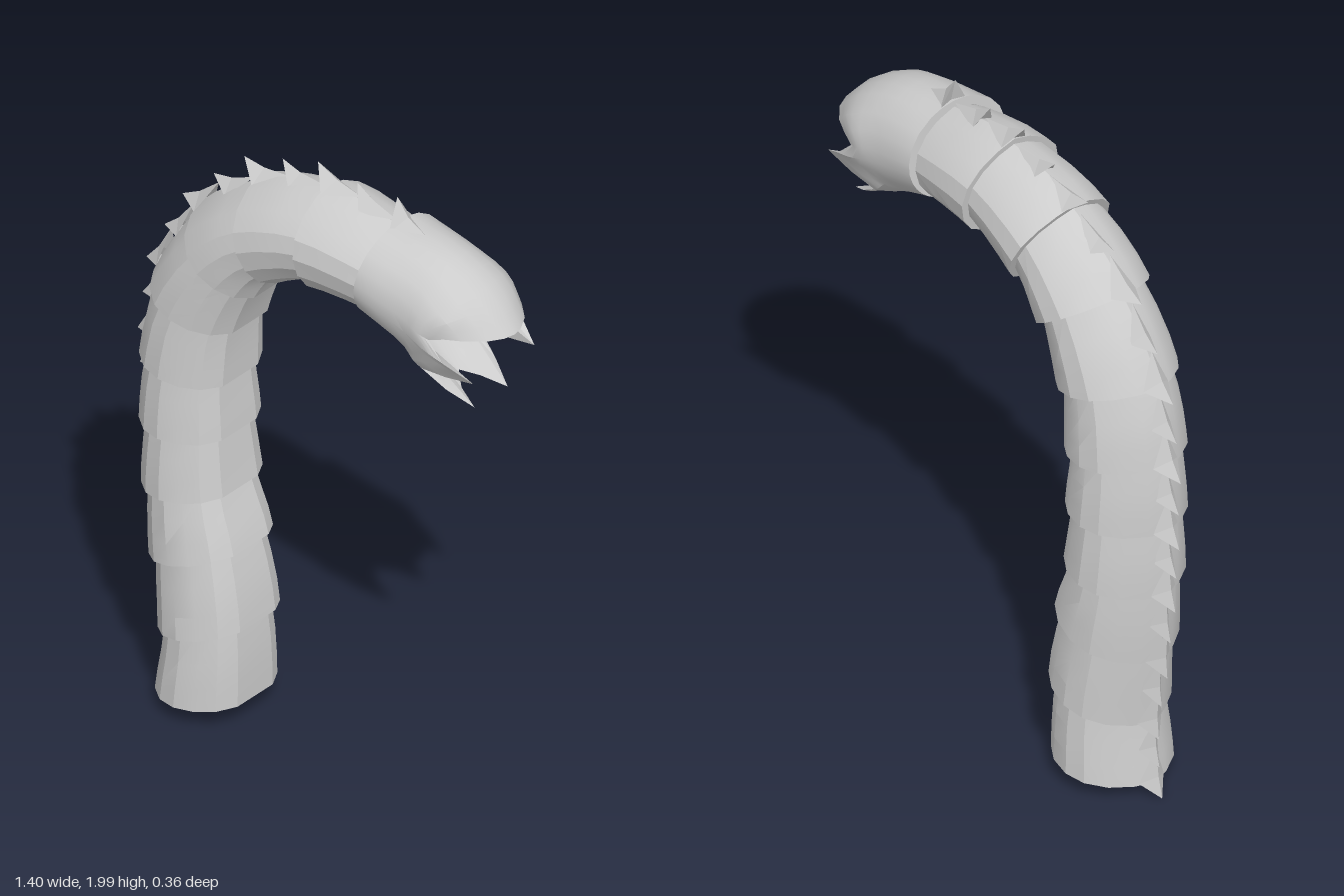
import * as THREE from 'three';
import { toCreasedNormals } from 'three/addons/utils/BufferGeometryUtils.js';

const V = (x, y, z = 0) => new THREE.Vector3(x, y, z);
const material = new THREE.MeshStandardMaterial({ color: 0xcccccc, side: THREE.DoubleSide });
const WIDTH = 0.178;

// Back and belly lines; each whole number along them is a plate rim, 10 is the head collar
const curve = (pts) => new THREE.CatmullRomCurve3(pts.map(([x, y]) => V(x, y)), false, 'catmullrom');
const back = curve([[-0.595, 0.05], [-0.585, 0.25], [-0.62, 0.48], [-0.645, 0.72], [-0.655, 0.94], [-0.655, 1.165],
  [-0.615, 1.41], [-0.475, 1.66], [-0.255, 1.85], [0.005, 1.935], [0.265, 1.925], [0.46, 1.9]]);
const belly = curve([[-0.27, 0.085], [-0.26, 0.34], [-0.285, 0.585], [-0.325, 0.765], [-0.33, 0.955], [-0.325, 1.14],
  [-0.29, 1.335], [-0.21, 1.49], [-0.13, 1.575], [0.04, 1.64], [0.235, 1.63], [0.38, 1.57]]);
const LAST = 11;

// Centre and half-thickness vector (towards the back) at station u
function frame(u) {
  const b = back.getPoint(u / LAST), f = belly.getPoint(u / LAST);
  return { centre: b.clone().add(f).multiplyScalar(0.5), up: b.clone().sub(f).multiplyScalar(0.5) };
}
function onSection(u, z, k, scale = 1) {
  const { centre, up } = frame(u);
  return centre.addScaledVector(up, k * scale).add(V(0, 0, z * WIDTH * scale));
}

// Mirror a half ring across z = 0, keeping points on the centre line single
function mirrorRing(half) {
  const other = half.filter((p) => p.z > 1e-6).reverse().map((p) => V(p.x, p.y, -p.z));
  return [...half, ...other];
}

// Skin a list of closed rings
function loft(rings, crease) {
  const n = rings[0].length, pos = [], index = [];
  rings.forEach((r) => r.forEach((p) => pos.push(p.x, p.y, p.z)));
  for (let i = 0; i < rings.length - 1; i++) {
    for (let j = 0; j < n; j++) {
      const a = i * n + j, b = i * n + (j + 1) % n;
      index.push(a, b, b + n, a, b + n, a + n);
    }
  }
  const g = new THREE.BufferGeometry();
  g.setAttribute('position', new THREE.Float32BufferAttribute(pos, 3));
  g.setIndex(index);
  return toCreasedNormals(g, crease);
}

function addMesh(group, geometry, name) {
  const mesh = new THREE.Mesh(geometry, material);
  mesh.name = name;
  group.add(mesh);
}

// Half cross-section [side, height]: keeled back, flat belly
const SECTION = [[0, 1], [0.33, 0.88], [0.68, 0.64], [0.92, 0.3], [1, -0.08], [0.93, -0.48], [0.74, -0.8], [0.42, -1]];
const bodyRing = (u, scale) => mirrorRing(SECTION.map(([z, k]) => onSection(u, z, k, scale)));

// Overlapping plate: inner lip, flared rim, narrowing neck
function bodyPlate(i) {
  const lip = i === 0 ? 0.001 : 0.8;
  const rings = [[0, lip], [0, 1], [0.3, 0.975], [0.65, 0.93], [1.04, 0.87]];
  return loft(rings.map(([du, s]) => bodyRing(Math.min(i + du, 10.03), s)), 0.4);
}

// Swept-back thorn with a ramp in front
function thorn(u, scale, height, sweep, width) {
  const { up } = frame(u);
  const out = up.clone().normalize();
  const along = V(out.y, -out.x);
  const root = onSection(u, 0, 1, scale);
  const at = (a, o, z) => root.clone().addScaledVector(along, a).addScaledVector(out, o).add(V(0, 0, z));
  const tip = at(-sweep, height, 0);
  const heel = at(0.015, -0.012, 0);
  const ridge = at(0.03, height * 0.36, 0);
  const nose = at(0.12, -0.008, 0);
  const left = at(0.005, -0.016, width), right = at(0.005, -0.016, -width);
  const faces = [tip, left, ridge, ridge, left, nose, tip, ridge, right, ridge, nose, right,
    tip, heel, left, tip, right, heel];
  const g = new THREE.BufferGeometry().setFromPoints(faces);
  g.computeVertexNormals();
  return g;
}

// Mouth edge, half, from snout to chin: [angle on the section, x, y, z]
const MOUTH = [
  [0, 0.692, 1.73, 0], [14, 0.685, 1.73, 0.035], [28, 0.66, 1.732, 0.08], [48, 0.61, 1.733, 0.125],
  [66, 0.56, 1.73, 0.15], [84, 0.515, 1.715, 0.163],                          // upper jaw to mouth corner
  [97, 0.57, 1.66, 0.165], [108, 0.652, 1.61, 0.13], [119, 0.55, 1.59, 0.132], // side fang
  [128, 0.46, 1.575, 0.125], [138, 0.53, 1.525, 0.105], [149, 0.605, 1.48, 0.07], // lower hook
  [162, 0.53, 1.5, 0.04], [180, 0.485, 1.52, 0]];

function headGeometry() {
  const STEPS = 8;
  const strips = MOUTH.map(([deg, x, y, z]) => {
    const a = THREE.MathUtils.degToRad(deg);
    const s = z === 0 ? 0 : Math.sin(a), c = Math.cos(a);
    const collar = onSection(10, s, c), mid = onSection(11, s * 0.97, c), edge = V(x, y, z);
    const bulge = mid.clone().lerp(edge, 0.6)
      .addScaledVector(V(0, c, s), 0.006 + 0.026 * Math.max(c, 0));
    const outer = new THREE.CatmullRomCurve3([collar, mid, bulge, edge]).getPoints(STEPS);
    // Inside: palate and throat
    const inner = onSection(11, s * 0.84, c, 1);
    inner.lerp(frame(11).centre, 0.12);
    inner.y = Math.min(inner.y, 1.785);
    const throat = V(0.3, 1.72 + 0.03 * c, 0.03 * s);
    const end = V(0.295, 1.72, s * 0.0005);
    return [onSection(10, s, c, 0.82), ...outer, inner.clone().lerp(edge, 0.45), inner, throat, end];
  });
  const rings = strips[0].map((_, i) => mirrorRing(strips.map((strip) => strip[i])));
  return loft(rings, 0.5);
}

export function createModel() {
  const model = new THREE.Group();
  model.name = 'armouredWorm';

  const body = new THREE.Group();
  body.name = 'body';
  const thorns = new THREE.Group();
  thorns.name = 'backThorns';
  for (let i = 0; i < 10; i++) {
    addMesh(body, bodyPlate(i), `bodyPlate${i + 1}`);
    // Rim thorn and smaller mid-plate thorn
    const grow = i / 9;
    addMesh(thorns, thorn(i, 1, 0.035 + 0.024 * grow, 0.035, 0.045), `rimThorn${i + 1}`);
    addMesh(thorns, thorn(i + 0.5, 0.95, 0.042 + 0.012 * grow, 0.03, 0.036), `midThorn${i + 1}`);
  }

  const head = new THREE.Group();
  head.name = 'head';
  addMesh(head, headGeometry(), 'skullAndJaws');
  addMesh(head, thorn(10, 1, 0.075, 0.015, 0.05), 'crestThorn');

  model.add(body, thorns, head);

  // Stand on the ground plane
  const box = new THREE.Box3().setFromObject(model);
  model.position.y = -box.min.y;
  return model;
}
